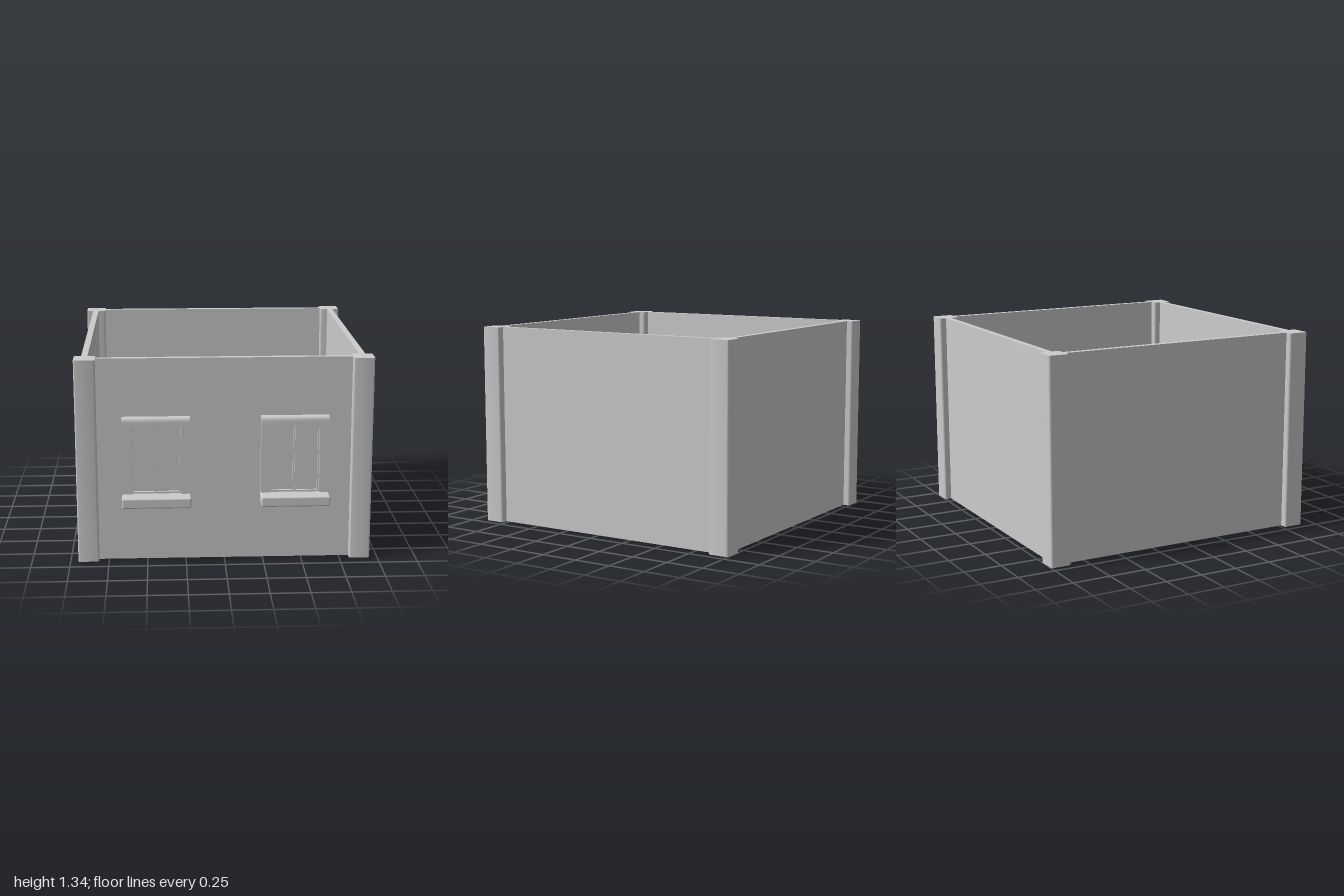
import * as THREE from 'three';
import { RoundedBoxGeometry } from 'three/addons/geometries/RoundedBoxGeometry.js';
import { toCreasedNormals } from 'three/addons/utils/BufferGeometryUtils.js';

const grey = new THREE.MeshStandardMaterial({ color: 0xcccccc });
const HEIGHT = 1.335;

function add(parent, name, geometry, x = 0, y = 0, z = 0) {
  const mesh = new THREE.Mesh(geometry, grey);
  mesh.name = name;
  mesh.position.set(x, y, z);
  parent.add(mesh);
  return mesh;
}

// Box given by its lower and upper corners
function block(parent, name, [x0, y0, z0], [x1, y1, z1]) {
  return add(parent, name, new THREE.BoxGeometry(x1 - x0, y1 - y0, z1 - z0),
    (x0 + x1) / 2, (y0 + y1) / 2, (z0 + z1) / 2);
}

// Square post with softened vertical edges
function postGeometry(size, r) {
  const h = size / 2;
  const s = new THREE.Shape();
  s.moveTo(-h + r, -h);
  s.lineTo(h - r, -h);
  s.quadraticCurveTo(h, -h, h, -h + r);
  s.lineTo(h, h - r);
  s.quadraticCurveTo(h, h, h - r, h);
  s.lineTo(-h + r, h);
  s.quadraticCurveTo(-h, h, -h, h - r);
  s.lineTo(-h, -h + r);
  s.quadraticCurveTo(-h, -h, -h + r, -h);
  const g = new THREE.ExtrudeGeometry(s, { depth: HEIGHT, bevelEnabled: false, curveSegments: 3 });
  return toCreasedNormals(g.rotateX(-Math.PI / 2), 0.7);
}

// Lintel: depth/height profile with a rounded upper front edge, run along x
function lintelGeometry(width, height, depth) {
  const s = new THREE.Shape();
  s.moveTo(0, 0);
  s.lineTo(depth, 0);
  s.lineTo(depth, height * 0.45);
  s.quadraticCurveTo(depth, height, depth * 0.6, height);
  s.lineTo(0, height);
  const g = new THREE.ExtrudeGeometry(s, { depth: width, bevelEnabled: false, curveSegments: 6 });
  g.translate(0, 0, -width / 2).rotateY(-Math.PI / 2);
  return toCreasedNormals(g, 0.6);
}

function windowUnit() {
  const unit = new THREE.Group();
  unit.name = 'window';
  add(unit, 'sill', new RoundedBoxGeometry(0.442, 0.066, 0.15, 3, 0.01), 0, 0.418, 0.925);
  add(unit, 'lintel', lintelGeometry(0.436, 0.057, 0.055), 0, 0.9, 0.85);
  for (const s of [-1, 1]) {
    const jamb = block(unit, 'jamb', [-0.03, 0.44, 0.85], [0.03, 0.9, 0.9]);
    jamb.position.x = s * 0.188;

    // Sash: thin frame around a recessed pane
    const sash = new THREE.Group();
    sash.name = 'sash';
    sash.position.x = s * 0.079;
    unit.add(sash);
    block(sash, 'pane', [-0.07, 0.455, 0.85], [0.07, 0.895, 0.866]);
    for (const e of [-1, 1]) {
      const stile = block(sash, 'stile', [-0.005, 0.45, 0.85], [0.005, 0.9, 0.885]);
      stile.position.x = e * 0.073;
    }
    block(sash, 'bottomRail', [-0.07, 0.45, 0.85], [0.07, 0.462, 0.885]);
    block(sash, 'topRail', [-0.07, 0.89, 0.85], [0.07, 0.9, 0.885]);
  }
  return unit;
}

export function createModel() {
  const model = new THREE.Group();
  model.name = 'building';

  // Walls, open above and below
  block(model, 'frontWall', [-0.83, 0, 0.82], [0.83, HEIGHT, 0.86]);
  block(model, 'backWall', [-0.83, 0, -0.955], [0.83, HEIGHT, -0.915]);
  for (const s of [-1, 1]) {
    const wall = block(model, s > 0 ? 'leftWall' : 'rightWall', [-0.02, 0, -0.88], [0.02, HEIGHT, 0.79]);
    wall.position.x = s * 0.885;
  }

  // Corner posts
  const post = postGeometry(0.135, 0.012);
  for (const x of [-0.8825, 0.8825])
    for (const z of [-0.9325, 0.8425]) add(model, 'cornerPost', post, x, 0, z);

  // Front windows
  for (const x of [-0.437, 0.452]) {
    const unit = windowUnit();
    unit.position.x = x;
    model.add(unit);
  }
  return model;
}
